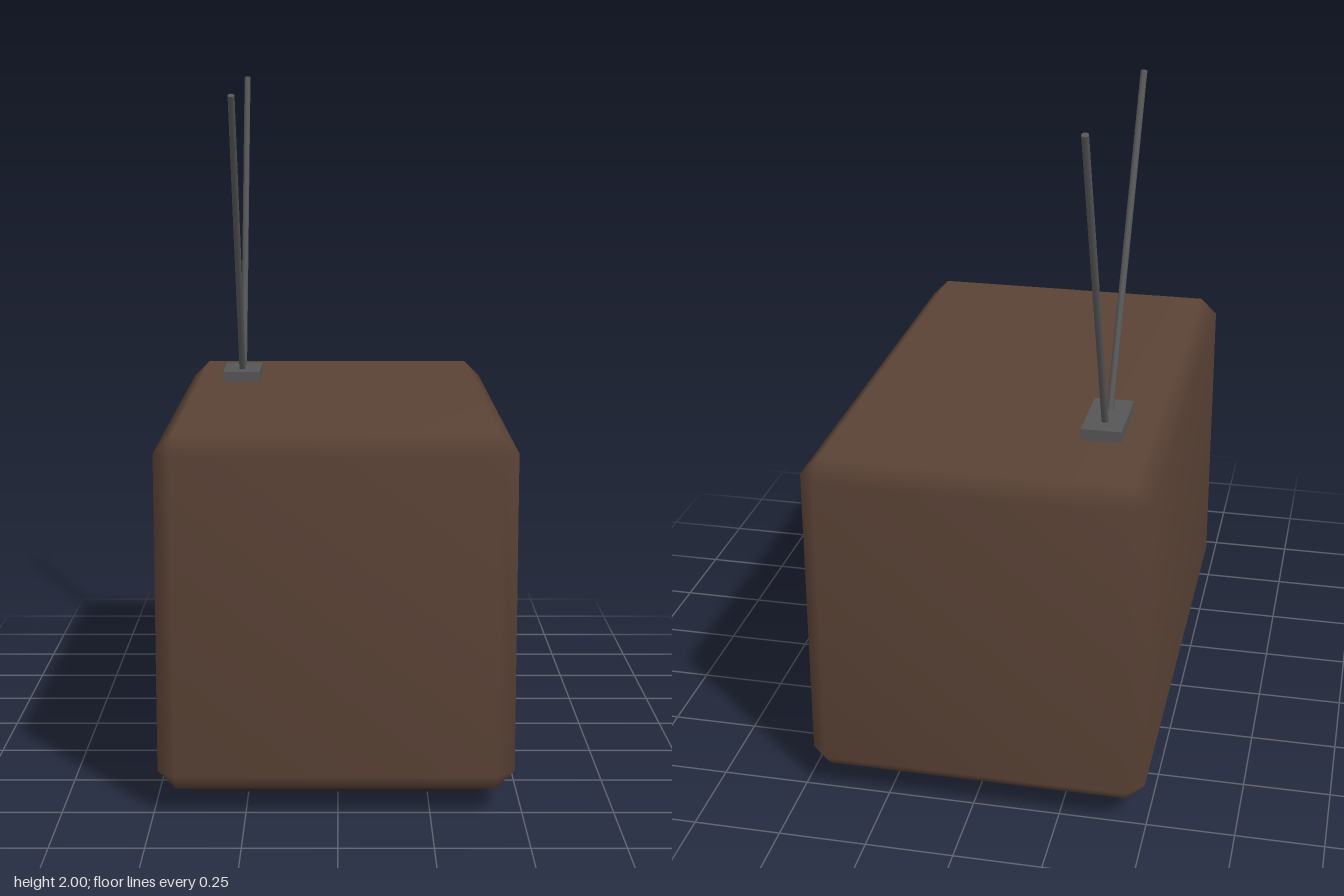
import * as THREE from 'three';
import { mergeGeometries, mergeVertices } from 'three/addons/utils/BufferGeometryUtils.js';

const mat = (color, extra = {}) =>
  new THREE.MeshStandardMaterial({ color, roughness: 0.9, ...extra });
const V = (x, y, z) => new THREE.Vector3(x, y, z);

// Skin between successive rings of points (counter-clockwise seen from +z, back to front)
function loft(rings, extraIndex = []) {
  const n = rings[0].length, index = [...extraIndex];
  for (let k = 0; k < rings.length - 1; k++) {
    for (let i = 0; i < n; i++) {
      const a = k * n + i, b = k * n + (i + 1) % n;
      index.push(a, b, b + n, a, b + n, a + n);
    }
  }
  const g = new THREE.BufferGeometry().setFromPoints(rings.flat());
  g.setIndex(index);
  return g;
}

function flat(g) {
  const out = g.toNonIndexed();
  out.computeVertexNormals();
  return out;
}

const rect = ({ l, r, b, t }) => [[r, b], [r, t], [l, t], [l, b]];

export function createModel() {
  const model = new THREE.Group();
  model.name = 'television';
  const set = new THREE.Group(); // built facing +z, then turned to face +x
  set.name = 'set';
  set.rotation.y = Math.PI / 2;
  model.add(set);

  const brown = 0x5a4235, black = 0x242424, grey = 0x555555;
  const add = (name, geometry, material, x = 0, y = 0, z = 0) => {
    const m = new THREE.Mesh(geometry, material);
    m.name = name;
    m.position.set(x, y, z);
    set.add(m);
    return m;
  };

  const front = 0.48, back = -0.49, c = 0.05;
  const L = -0.79, R = 0.78, B = 0.065, T = 1.04;
  const opening = { l: -0.66, r: 0.19, b: 0.18, t: 0.925 };
  const panel = { l: 0.27, r: 0.61, b: 0.18, t: 0.925 };

  // Cabinet: chamfered box with smooth normals and two openings in its face
  const outline = [[R, B + c], [R, T - c], [R - c, T], [L + c, T],
    [L, T - c], [L, B + c], [L + c, B], [R - c, B]];
  const inset = outline.map(([x, y]) => [
    THREE.MathUtils.clamp(x, L + c, R - c), THREE.MathUtils.clamp(y, B + c, T - c)]);
  const ring = (pts, z) => pts.map(([x, y]) => V(x, y, z));
  const shell = loft([ring(inset, back), ring(outline, back + c),
    ring(outline, front - c), ring(inset, front)], [0, 5, 3, 0, 3, 1]);
  const toVec2 = (pts) => pts.map(([x, y]) => new THREE.Vector2(x, y));
  const face = new THREE.Shape(toVec2(rect({ l: L + c, r: R - c, b: B + c, t: T - c })));
  for (const hole of [opening, panel]) face.holes.push(new THREE.Path(toVec2(rect(hole))));
  const faceGeo = new THREE.ShapeGeometry(face).translate(0, 0, front);
  faceGeo.deleteAttribute('normal');
  faceGeo.deleteAttribute('uv');
  const cabinetGeo = mergeVertices(mergeGeometries([shell, faceGeo]), 1e-4);
  cabinetGeo.computeVertexNormals();
  add('cabinet', cabinetGeo, mat(brown));

  // Domed picture tube with bowed edges
  const N = 8;
  const cx = (opening.l + opening.r) / 2, cy = (opening.b + opening.t) / 2;
  const hw = (opening.r - opening.l) / 2, hh = (opening.t - opening.b) / 2;
  const tube = (u, v) => V(
    cx + u * (hw - 0.012 - 0.025 * v * v),
    cy + v * (hh - 0.015 - 0.018 * u * u),
    front - 0.09 + 0.025 * (1 - u * u) + 0.025 * (1 - v * v));
  const screenGeo = new THREE.PlaneGeometry(2, 2, N, N);
  const p = screenGeo.attributes.position;
  for (let i = 0; i < p.count; i++) p.setXYZ(i, ...tube(p.getX(i), p.getY(i)).toArray());
  screenGeo.computeVertexNormals();
  add('screen', screenGeo, mat(0x5c5c5c));

  // Dark surround sloping from the opening back to the tube edge
  const border = [];
  const corners = rect({ l: -1, r: 1, b: -1, t: 1 });
  corners.forEach(([u, v], i) => {
    const [u2, v2] = corners[(i + 1) % 4];
    for (let k = 0; k < N; k++) border.push([u + (u2 - u) * k / N, v + (v2 - v) * k / N]);
  });
  add('screenSurround', flat(loft([
    border.map(([u, v]) => tube(u, v)),
    border.map(([u, v]) => V(cx + u * hw, cy + v * hh, front))])),
  mat(black, { side: THREE.DoubleSide }));

  // Recessed control panel with two dials
  const panelZ = front - 0.03;
  add('panelRecess', flat(loft([ring(rect(panel), panelZ), ring(rect(panel), front)])),
    mat(brown, { side: THREE.DoubleSide }));
  add('controlPanel', new THREE.PlaneGeometry(panel.r - panel.l, panel.t - panel.b),
    mat(0x2a2a2a), (panel.l + panel.r) / 2, (panel.b + panel.t) / 2, panelZ);
  const dial = new THREE.CylinderGeometry(0.102, 0.102, 0.045, 32).rotateX(Math.PI / 2);
  for (const [name, y] of [['upperDial', 0.745], ['lowerDial', 0.46]]) {
    add(name, dial, mat(grey), 0.44, y, panelZ + 0.0225);
  }

  // Plinth, narrowing towards the floor
  const plinthGeo = new THREE.BoxGeometry(1.21, 0.07, 0.845);
  const q = plinthGeo.attributes.position;
  for (let i = 0; i < q.count; i++) {
    if (q.getY(i) < 0) q.setXYZ(i, q.getX(i) * 0.955, q.getY(i), q.getZ(i) * 0.95);
  }
  add('plinth', flat(plinthGeo), mat(black), -0.015, 0.035, -0.008);

  // Aerial: foot and two splayed rods
  const az = -0.305;
  add('aerialFoot', new THREE.BoxGeometry(0.225, 0.045, 0.115), mat(grey), 0.3475, 1.05, az);
  const rods = [
    ['longRod', V(0.385, 1.05, az), V(0.775, 1.995, az)],
    ['shortRod', V(0.32, 1.05, az), V(-0.202, 1.928, az)]];
  for (const [name, from, to] of rods) {
    const dir = to.clone().sub(from);
    const rod = add(name, new THREE.CylinderGeometry(0.01, 0.01, dir.length(), 8), mat(grey));
    rod.position.copy(from).addScaledVector(dir, 0.5);
    rod.quaternion.setFromUnitVectors(V(0, 1, 0), dir.normalize());
  }
  return model;
}
